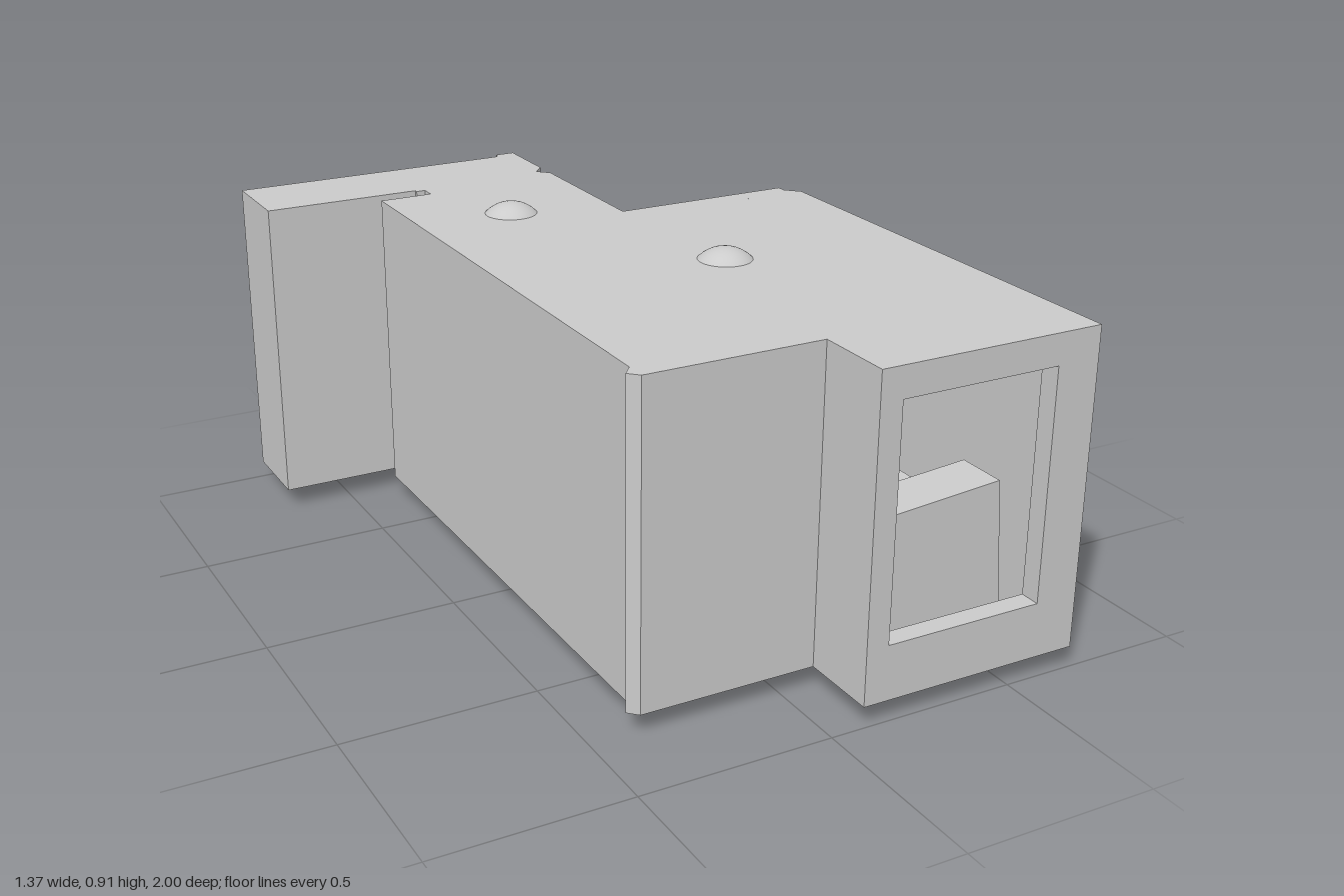
import * as THREE from 'three';

const FLOOR = 0.055, TOP = 0.88, WALL = 0.055;

// Room footprint as [x, z], walked with the inside on the right hand
const OUTLINE = [
  [-0.685, -0.98], [0.09, -0.98], [0.12, -1], [0.155, -1], [0.155, -0.81],
  [0.125, -0.775], [0.155, -0.745], [0.155, -0.3], [0.65, -0.3], [0.65, -0.275],
  [0.685, -0.24], [0.685, 1], [0.085, 1], [0.085, 0.79], [-0.38, 0.79],
  [-0.405, 0.765], [-0.38, 0.735], [-0.38, -0.7], [-0.235, -0.7],
  [-0.235, -0.75], [-0.685, -0.75],
];

// Openings by wall index: [start, end, bottom, top] along the wall
const OPENINGS = {
  0: [0.45, 0.76, FLOOR + 0.007, 0.7],     // back doorway
  6: [0.065, 0.305, FLOOR + 0.007, 0.695], // side doorway
  11: [0.115, 0.54, 0.2, 0.8],             // front window
};

export function createModel() {
  const model = new THREE.Group();
  const material = new THREE.MeshStandardMaterial({ color: 0xcccccc, side: THREE.DoubleSide });

  function add(name, geometry, parent = model) {
    const mesh = new THREE.Mesh(geometry, material);
    mesh.name = name;
    parent.add(mesh);
    return mesh;
  }

  // Box given by its lowest and highest corners
  function box(name, [x0, y0, z0], [x1, y1, z1], parent) {
    const g = new THREE.BoxGeometry(x1 - x0, y1 - y0, z1 - z0);
    g.translate((x0 + x1) / 2, (y0 + y1) / 2, (z0 + z1) / 2);
    return add(name, g, parent);
  }

  // Rectangle path in the plane of a wall
  function rect(path, u0, u1, v0, v1) {
    path.moveTo(u0, v0);
    path.lineTo(u1, v0);
    path.lineTo(u1, v1);
    path.lineTo(u0, v1);
    path.closePath();
    return path;
  }

  // Floor and ceiling slabs
  const plan = new THREE.Shape(OUTLINE.map(([x, z]) => new THREE.Vector2(x, -z)));
  function slab(name, y, thickness) {
    const g = new THREE.ExtrudeGeometry(plan, { depth: thickness, bevelEnabled: false });
    g.rotateX(-Math.PI / 2);
    g.translate(0, y, 0);
    add(name, g);
  }
  slab('floor', FLOOR, 0.01);
  slab('ceiling', TOP - 0.02, 0.02);

  // One wall per side of the footprint, thickened inwards
  const walls = new THREE.Group();
  walls.name = 'walls';
  model.add(walls);
  OUTLINE.forEach(([x, z], i) => {
    const [nx, nz] = OUTLINE[(i + 1) % OUTLINE.length];
    const shape = rect(new THREE.Shape(), 0, Math.hypot(nx - x, nz - z), FLOOR, TOP);
    if (OPENINGS[i]) shape.holes.push(rect(new THREE.Path(), ...OPENINGS[i]));
    const short = Math.hypot(nx - x, nz - z) < 0.07;
    const g = new THREE.ExtrudeGeometry(shape, { depth: short ? 0.03 : WALL, bevelEnabled: false });
    const wall = add('wall', g, walls);
    wall.position.set(x, 0, z);
    wall.rotation.y = Math.atan2(-(nz - z), nx - x);
  });

  // Half-open sliding door and the end of its pocket
  box('slidingDoor', [-0.4, FLOOR + 0.01, -0.925], [-0.035, 0.72, -0.9]);
  box('pocketWall', [-0.26, FLOOR, -0.9], [-0.235, TOP, -0.74]);

  // Frame around the side doorway
  const frame = new THREE.Group();
  frame.name = 'doorFrame';
  model.add(frame);
  for (const z of [-0.695, -0.445])
    box('doorJamb', [0.09, FLOOR, z], [0.162, 0.71, z + 0.015], frame);
  box('doorHead', [0.09, 0.695, -0.695], [0.162, 0.71, -0.43], frame);

  // Round ceiling lamps that rise through the ceiling
  for (const [x, z] of [[-0.115, -0.43], [0.185, 0.185]])
    add('ceilingLamp', new THREE.SphereGeometry(0.097, 32, 24)).position.set(x, 0.813, z);

  // Hanging drum shade
  add('hangingDrum', new THREE.CylinderGeometry(0.155, 0.155, 0.29, 32)).position.set(0.45, 0.715, 0.3);

  // Tall cupboard beside the window recess
  box('cupboard', [-0.28, FLOOR, 0.5], [0.27, 0.76, 0.73]);

  // Slightly tilted furniture, placed by its lower corner
  function tilted(name, x, y, z0, z1, length, height) {
    const piece = box(name, [0, 0, z0], [length, height, z1]);
    piece.position.set(x, y, 0);
    piece.rotation.z = 0.08;
  }
  tilted('bed', -0.05, 0, -0.15, 0.48, 0.67, 0.25);
  tilted('nightstand', 0.24, 0.025, 0.67, 0.81, 0.38, 0.385);

  return model;
}
